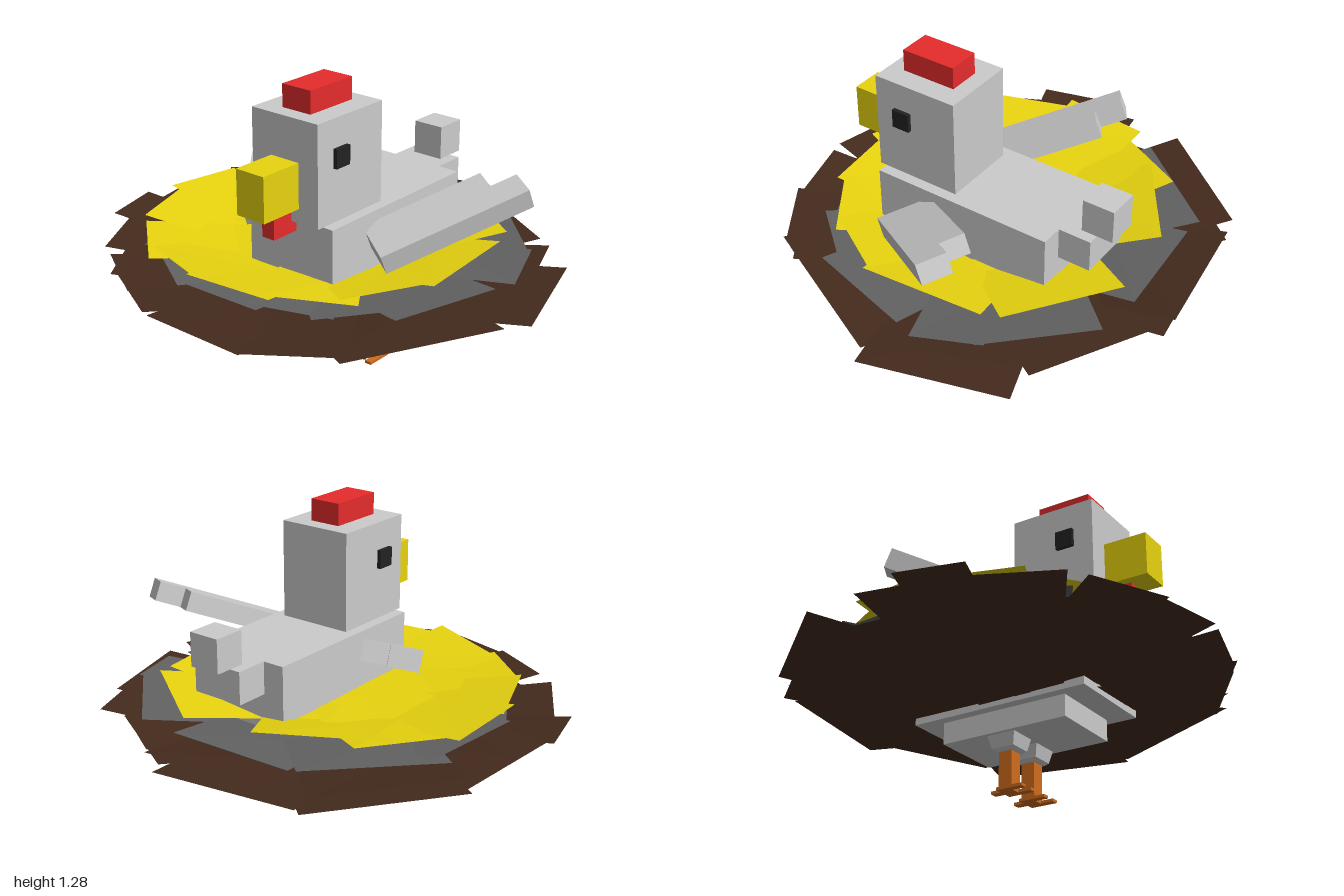
import * as THREE from 'three';

const mat = (color, thin = false) => new THREE.MeshStandardMaterial({
  color, flatShading: true, side: thin ? THREE.DoubleSide : THREE.FrontSide,
});
const grey = mat(0xcccccc), red = mat(0xe62c2c), yellow = mat(0xe8d40f);
const black = mat(0x222222), orange = mat(0xd06c1e);
const CX = 0.12; // the bird's own centre line

function add(group, name, geometry, material) {
  const mesh = new THREE.Mesh(geometry, material);
  mesh.name = name;
  group.add(mesh);
  return mesh;
}

// Box given by its limits on each axis
function box(group, name, [x0, x1], [y0, y1], [z0, z1], material = grey) {
  const mesh = add(group, name, new THREE.BoxGeometry(x1 - x0, y1 - y0, z1 - z0), material);
  mesh.position.set((x0 + x1) / 2, (y0 + y1) / 2, (z0 + z1) / 2);
  return mesh;
}
const mid = (w, x = CX) => [x - w / 2, x + w / 2];

// Wing: a slab with a stepped tip, laid along a slanted basis
function wing(group, side) {
  const L = new THREE.Vector3(0.55 * side, 0.35, -0.755).normalize();
  const W = new THREE.Vector3(-0.818 * side, 0.163, -0.52);
  W.addScaledVector(L, -W.dot(L)).normalize().multiplyScalar(side);
  const N = new THREE.Vector3().crossVectors(L, W);
  const outline = [[0, 0], [0.635, 0], [0.635, 0.125], [0.52, 0.125], [0.52, 0.23], [0, 0.23]];
  const shape = new THREE.Shape(outline.map(([l, w]) => new THREE.Vector2(l, w * side)));
  const geo = new THREE.ExtrudeGeometry(shape, { depth: 0.085, bevelEnabled: false });
  geo.applyMatrix4(new THREE.Matrix4().makeBasis(L, W, N));
  const mesh = add(group, side > 0 ? 'leftWing' : 'rightWing', geo, grey);
  mesh.position.set(CX + 0.367 * side, 0.655, 0.28).addScaledVector(N, -0.085);
}

// Leg: tapered thigh, shank and toed foot
function leg(group, side) {
  const g = new THREE.Group();
  g.name = side > 0 ? 'leftLeg' : 'rightLeg';
  const taper = (name, top, bottom, y0, y1) => {
    const geo = new THREE.CylinderGeometry(top * Math.SQRT1_2, bottom * Math.SQRT1_2, y1 - y0, 4);
    add(g, name, geo.rotateY(Math.PI / 4), grey).position.set(0, (y0 + y1) / 2, 0);
  };
  taper('thigh', 0.13, 0.105, 0.18, 0.235);
  taper('knee', 0.105, 0.075, 0.168, 0.18);
  box(g, 'shank', mid(0.062, 0), [0.008, 0.172], mid(0.062, 0), orange);
  box(g, 'footPad', mid(0.1, 0), [0, 0.012], mid(0.062, 0), orange);
  for (const s of [-1, 1]) box(g, 'frontToe', mid(0.03, s * 0.035), [0, 0.012], [0.03, 0.09], orange);
  box(g, 'backToe', mid(0.035, 0), [0, 0.012], [-0.077, -0.03], orange);
  g.position.set(CX + side * 0.086, 0, -0.048);
  group.add(g);
}

// Nest layer: overlapping thin panels [angle, reach, half width, rim height],
// nearly flat in the middle and rising to the rim
function nestLayer(group, name, color, floor, panels) {
  const layer = new THREE.Group();
  layer.name = name;
  const material = mat(color, true);
  panels.forEach(([deg, reach, half, rim], i) => {
    const tilt = ((i * 7) % 5 - 2) * 0.006;
    const base = floor + (i % 3) * 0.006;
    const rows = [[0, base, 0.6], [0.52 * reach, base + 0.008, 0.95], [reach, rim, 1]];
    const pos = [], index = [];
    rows.forEach(([r, y, w], k) => {
      for (const s of [-1, 1]) pos.push(s * half * w, y + s * tilt * k / 2, r);
      if (k) {
        const a = 2 * k - 2;
        index.push(a, a + 2, a + 1, a + 1, a + 2, a + 3);
      }
    });
    const geo = new THREE.BufferGeometry();
    geo.setAttribute('position', new THREE.Float32BufferAttribute(pos, 3));
    geo.setIndex(index);
    geo.computeVertexNormals();
    add(layer, name + 'Panel', geo, material).rotation.y = THREE.MathUtils.degToRad(deg);
  });
  group.add(layer);
}

export function createModel() {
  const model = new THREE.Group();
  model.name = 'birdInNest';

  // Bird
  const bird = new THREE.Group();
  bird.name = 'bird';
  model.add(bird);
  box(bird, 'body', mid(0.43), [0.33, 0.76], [-0.435, 0.385]);
  box(bird, 'belly', mid(0.34), [0.235, 0.33], [-0.32, 0.27]);
  box(bird, 'head', mid(0.335), [0.76, 1.185], [0.03, 0.415]);
  box(bird, 'comb', mid(0.143), [1.185, 1.28], [0.1, 0.345], red);
  box(bird, 'beak', mid(0.14), [0.82, 1.01], [0.415, 0.61], yellow);
  box(bird, 'wattle', mid(0.062), [0.71, 0.82], [0.385, 0.515], red);
  box(bird, 'tailBase', mid(0.235), [0.62, 0.76], [-0.58, -0.435]);
  box(bird, 'tailTip', mid(0.14), [0.76, 0.905], [-0.65, -0.51]);
  for (const side of [-1, 1]) {
    box(bird, 'eye', mid(0.03, CX + side * 0.17), [0.985, 1.065], [0.245, 0.325], black);
    wing(bird, side);
    leg(bird, side);
  }

  // Nest, from the outside in
  const nest = new THREE.Group();
  nest.name = 'nest';
  model.add(nest);
  nestLayer(nest, 'lowerTwigs', 0x442b1d, 0.35, [
    [108.6, 0.95, 0.31, 0.405], [189, 0.86, 0.32, 0.4], [150, 0.84, 0.28, 0.41],
    [65, 0.84, 0.35, 0.4], [231, 0.9, 0.33, 0.41], [270, 0.87, 0.3, 0.4],
    [304, 0.9, 0.24, 0.4], [332, 0.88, 0.22, 0.41], [2, 0.86, 0.24, 0.4], [33, 0.87, 0.24, 0.41],
  ]);
  nestLayer(nest, 'upperTwigs', 0x442b1d, 0.41, [
    [189, 0.9, 0.32, 0.49], [149.6, 0.87, 0.235, 0.47], [110, 0.88, 0.27, 0.48],
    [65, 0.87, 0.33, 0.48], [231.5, 0.93, 0.31, 0.49], [276, 0.93, 0.19, 0.48],
    [285, 1.0, 0.14, 0.49], [302, 0.93, 0.2, 0.48], [330, 0.91, 0.17, 0.49],
    [350, 0.9, 0.16, 0.485], [13, 0.89, 0.15, 0.48], [34, 0.9, 0.17, 0.49],
  ]);
  nestLayer(nest, 'lining', 0x626262, 0.455, [
    [186, 0.74, 0.27, 0.505], [135, 0.8, 0.25, 0.51], [110, 0.83, 0.15, 0.505],
    [76, 0.76, 0.25, 0.5], [50, 0.73, 0.2, 0.51], [230, 0.78, 0.3, 0.505],
    [265, 0.75, 0.25, 0.5], [300, 0.74, 0.25, 0.51], [330, 0.72, 0.22, 0.505],
    [0, 0.7, 0.22, 0.5], [25, 0.7, 0.2, 0.505],
  ]);
  nestLayer(nest, 'straw', 0xe8d40f, 0.5, [
    [214.5, 0.65, 0.27, 0.575], [145, 0.69, 0.26, 0.565], [268, 0.79, 0.19, 0.575],
    [96, 0.66, 0.27, 0.56], [59, 0.67, 0.19, 0.565], [34, 0.69, 0.18, 0.55],
    [6, 0.71, 0.2, 0.56], [341, 0.73, 0.2, 0.57], [319, 0.77, 0.18, 0.55],
    [291, 0.77, 0.2, 0.575], [240, 0.72, 0.2, 0.56],
  ]);
  return model;
}
